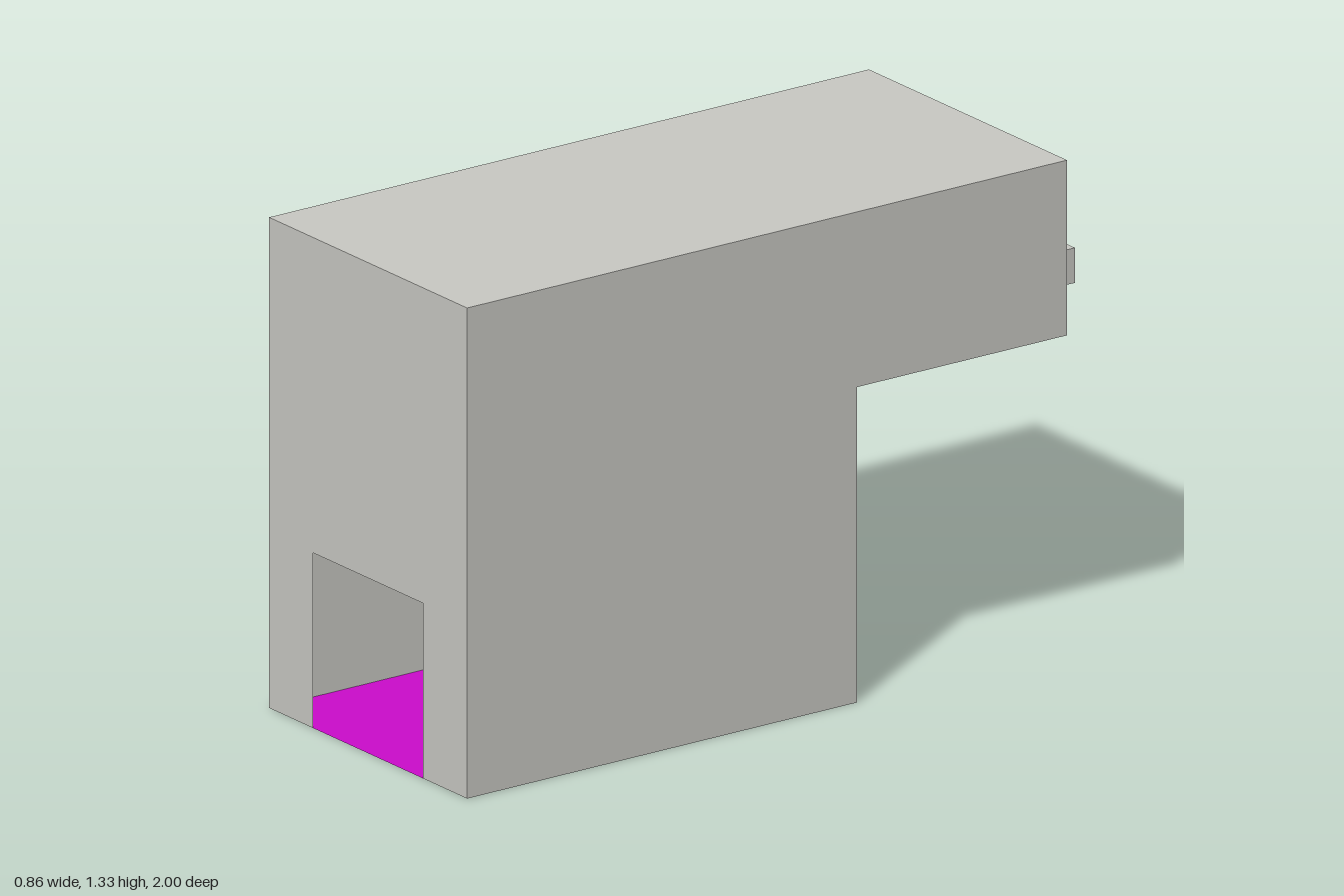
import * as THREE from 'three';

// Hollow thin-walled housing, drawn on a 21-unit long grid and scaled to length 2
export function createModel() {
  const model = new THREE.Group();
  model.name = 'ductHousing';
  const body = new THREE.Group();
  body.name = 'body';
  body.scale.setScalar(2 / 21);
  model.add(body);

  const grey = new THREE.MeshStandardMaterial({ color: 0xc9c9c4, side: THREE.DoubleSide });
  grey.name = 'warm grey';
  const magenta = new THREE.MeshStandardMaterial({ color: 0xcc0ccc, side: THREE.DoubleSide });
  magenta.name = 'magenta';

  const W = 4.5, H = 14, STEP = 9;
  const FRONT = 10.5, LEG_BACK = -2.5, BACK = -9.5, TIP = -10.5;

  function add(name, geometry, material, parent = body) {
    const mesh = new THREE.Mesh(geometry, material);
    mesh.name = name;
    parent.add(mesh);
    return mesh;
  }
  const points = list => list.map(([a, b]) => new THREE.Vector2(a, b));
  const panel = (outline, hole) => {
    const shape = new THREE.Shape(points(outline));
    if (hole) shape.holes.push(new THREE.Path(points(hole)));
    return new THREE.ShapeGeometry(shape);
  };
  // Horizontal sheet, facing up or down
  const level = (x0, x1, y, z0, z1, up) =>
    new THREE.PlaneGeometry(x1 - x0, z1 - z0)
      .rotateX(up ? -Math.PI / 2 : Math.PI / 2)
      .translate((x0 + x1) / 2, y, (z0 + z1) / 2);
  // Upright sheet across x, facing left or right
  const upright = (x, y0, y1, z0, z1, dir) =>
    new THREE.PlaneGeometry(z1 - z0, y1 - y0)
      .rotateY(dir * Math.PI / 2)
      .translate(x, (y0 + y1) / 2, (z0 + z1) / 2);

  // L-shaped side walls
  const profile = [[FRONT, 0], [FRONT, H], [BACK, H], [BACK, STEP], [LEG_BACK, STEP], [LEG_BACK, 0]];
  for (const s of [-1, 1]) {
    const outline = profile.map(([z, y]) => [s * -z, y]);
    add(s > 0 ? 'leftWall' : 'rightWall',
      panel(outline).rotateY(s * Math.PI / 2).translate(s * W, 0, 0), grey);
  }

  // Roof and the two floors
  add('roof', level(-W, W, H, BACK, FRONT, true), grey);
  add('lowerFloor', level(-W, W, 0, LEG_BACK, FRONT, false), magenta);
  add('upperFloor', level(-W, W, STEP, BACK, LEG_BACK, false), magenta);

  // Front wall with a doorway
  add('frontWall', panel([[-W, 0], [-2.5, 0], [-2.5, 5], [2.5, 5], [2.5, 0], [W, 0], [W, H], [-W, H]])
    .translate(0, 0, FRONT), grey);

  // Rear walls: plain below, pierced by the two spouts above (outlined as seen from behind)
  add('lowerBackWall', panel([[-W, 0], [W, 0], [W, STEP], [-W, STEP]])
    .rotateY(Math.PI).translate(0, 0, LEG_BACK), grey);
  add('upperBackWall', panel(
    [[-W, 9], [-1.5, 9], [-1.5, 12], [1.5, 12], [1.5, 9], [W, 9], [W, H], [-W, H]],
    [[-3.5, 10], [-3.5, 11], [-2.5, 11], [-2.5, 10]])
    .rotateY(Math.PI).translate(0, 0, BACK), grey);

  // Open square spouts
  function spout(name, x0, x1, y0, y1, floorMaterial) {
    const group = new THREE.Group();
    group.name = name;
    body.add(group);
    add(name + 'Top', level(x0, x1, y1, TIP, BACK, true), grey, group);
    add(name + 'Floor', level(x0, x1, y0, TIP, BACK, false), floorMaterial, group);
    add(name + 'RightSide', upright(x0, y0, y1, TIP, BACK, -1), grey, group);
    add(name + 'LeftSide', upright(x1, y0, y1, TIP, BACK, 1), grey, group);
  }
  spout('largeSpout', -1.5, 1.5, 9, 12, magenta);
  spout('smallSpout', 2.5, 3.5, 10, 11, grey);

  return model;
}
